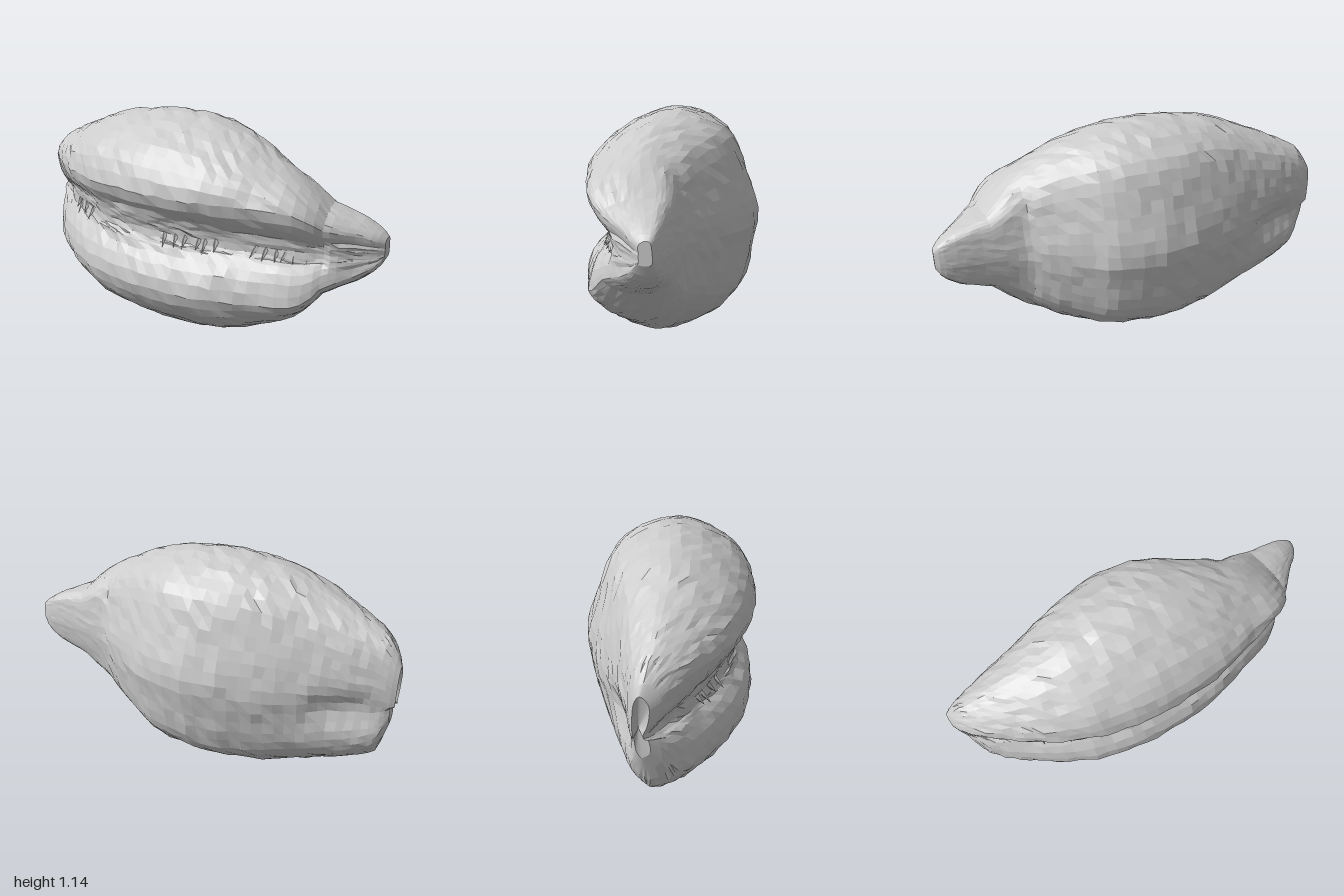
import * as THREE from 'three';

// Stations along the shell: x, top y, bottom y, back z, front z
const STATIONS = [
  [-1, 0.77, 0.46, -0.11, -0.03], [-0.97, 0.83, 0.36, -0.13, 0.03], [-0.93, 0.88, 0.27, -0.145, 0.07],
  [-0.88, 0.91, 0.23, -0.165, 0.12], [-0.8, 0.945, 0.185, -0.2, 0.18], [-0.6, 1.03, 0.1, -0.27, 0.305],
  [-0.4, 1.1, 0.03, -0.345, 0.385], [-0.2, 1.125, 0.01, -0.41, 0.415], [-0.05, 1.13, 0.005, -0.43, 0.42],
  [0.1, 1.118, 0.015, -0.42, 0.412], [0.2, 1.095, 0.03, -0.395, 0.4], [0.3, 1.063, 0.055, -0.335, 0.375],
  [0.4, 1.02, 0.09, -0.285, 0.345], [0.6, 0.915, 0.2, -0.19, 0.26], [0.7, 0.84, 0.3, -0.175, 0.195],
  [0.75, 0.785, 0.365, -0.17, 0.15], [0.8, 0.77, 0.39, -0.165, 0.12], [0.9, 0.73, 0.44, -0.16, 0.03],
  [0.97, 0.69, 0.5, -0.15, -0.03], [1, 0.66, 0.56, -0.13, -0.07],
];

// Closed cross-section (u = depth, v = height), v = 0 at the slit
const SECTION = new THREE.CatmullRomCurve3([
  [0.12, 1], [-0.25, 0.97], [-0.62, 0.8], [-0.85, 0.42], [-1, 0.03], [-0.95, -0.25], [-0.8, -0.65],
  [-0.33, -0.94], [0, -1], [0.45, -0.91], [0.85, -0.68], [1, -0.45], [0.93, -0.27], [0.72, -0.12],
  [0.35, -0.05], [0.25, 0], [0.4, 0.06], [0.72, 0.16], [0.91, 0.28], [1, 0.4], [0.9, 0.63], [0.6, 0.84],
].map(([u, v]) => new THREE.Vector3(u, v, 0)), true);

const SLIT_Y = 0.58, LIP_V = 0.4, LIP_HEIGHT = 0.22;
const { lerp, clamp, smoothstep } = THREE.MathUtils;
const bump = (x, c, w) => Math.exp(-(((x - c) / w) ** 2));

let seed = 7;
const rand = () => {
  seed = (seed * 16807) % 2147483647;
  return seed / 2147483647 - 0.5;
};

function station(x) {
  let i = 0;
  while (i < STATIONS.length - 2 && x > STATIONS[i + 1][0]) i++;
  const a = STATIONS[i], b = STATIONS[i + 1];
  const t = clamp((x - a[0]) / (b[0] - a[0]), 0, 1);
  return a.map((n, k) => lerp(n, b[k], t));
}

// How far forward the floor of the slit lies
const slitFloor = (x) =>
  Math.max(0.55 + 0.2 * bump(x, -0.15, 0.45), smoothstep(x, 0.5, 0.88) * 0.88) * smoothstep(x, -1.02, -0.75);

// Height above or below the slit; on the front the lips keep an even distance from it
function lipHeight(v, range) {
  const lip = Math.min(LIP_HEIGHT, 0.66 * range);
  return v < LIP_V ? (v / LIP_V) * lip : lerp(lip, range, (v - LIP_V) / (1 - LIP_V));
}

function surfacePoint(x, u, v) {
  const [, top, bottom, back, front] = station(x);
  if (u > 0 && Math.abs(v) < 0.2) u = Math.max(u, slitFloor(x) + 0.5 * Math.abs(v));
  // the spout has a flat, broad back
  if (u < 0) u = lerp(u, -(Math.abs(u) ** (v > 0 ? 0.4 : 0.65)), smoothstep(x, 0.5, 0.75));
  const range = v > 0 ? top - SLIT_Y : SLIT_Y - bottom;
  const y = SLIT_Y + (u > 0 ? Math.sign(v) * lipHeight(Math.abs(v), range) : v * range);
  let z = (back + front) / 2 + (u * (front - back)) / 2;
  // hollow behind the blunt end
  if (u < 0) z += 0.06 * bump(x, -0.78, 0.17) * bump(y, 0.53, 0.1);
  // slanted rim where the body meets the spout
  const px = x + 0.06 * u * bump(x, 0.66, 0.13) + (v < -0.1 ? 0.02 * bump(x, -1, 0.06) : 0);
  return new THREE.Vector3(px, y, z);
}

function shellGeometry() {
  const rings = 46, sides = 60, pos = [], index = [];
  const profile = SECTION.getSpacedPoints(sides).slice(0, sides);
  for (let i = 0; i <= rings; i++) {
    const t = i / rings;
    const x = 0.5 * (2 * t - 1) - 0.5 * Math.cos(Math.PI * t);
    const [, top, bottom] = station(x);
    const rough = i > 1 && i < rings - 1 ? (top - bottom) * 0.014 : 0;
    for (const { x: u, y: v } of profile) {
      const p = surfacePoint(x, u, v);
      pos.push(p.x + rand() * rough, p.y + rand() * rough * 0.7, p.z + rand() * rough * 0.7);
    }
  }
  for (let i = 0; i < rings; i++) {
    for (let j = 0; j < sides; j++) {
      const k = (j + 1) % sides;
      const a = i * sides + j, b = i * sides + k, c = a + sides, d = b + sides;
      index.push(a, c, b, b, c, d);
    }
  }
  // end caps, the blunt one pulled inward as a notch
  const start = pos.length / 3;
  pos.push(-0.965, 0.6, -0.08, 1, 0.61, -0.1);
  const last = rings * sides;
  for (let j = 0; j < sides; j++) {
    const k = (j + 1) % sides;
    index.push(start, j, k, start + 1, last + k, last + j);
  }
  const geo = new THREE.BufferGeometry();
  geo.setAttribute('position', new THREE.Float32BufferAttribute(pos, 3));
  geo.setIndex(index);
  geo.computeVertexNormals();
  return geo;
}

export function createModel() {
  const group = new THREE.Group();
  group.name = 'cowrieShell';
  const material = new THREE.MeshStandardMaterial({ color: 0xcccccc, flatShading: true, side: THREE.DoubleSide });

  const body = new THREE.Mesh(shellGeometry(), material);
  body.name = 'shellBody';
  group.add(body);

  // Irregular teeth hanging over the lower edge of the slit
  const teeth = new THREE.Group();
  teeth.name = 'slitTeeth';
  for (const [from, to, count] of [[-0.7, -0.52, 4], [0.04, 0.3, 6], [0.48, 0.7, 6]]) {
    for (let i = 0; i < count; i++) {
      const x = lerp(from, to, i / (count - 1)) + rand() * 0.03;
      const p = surfacePoint(x, 0.5, -0.04);
      const tooth = new THREE.Mesh(new THREE.ConeGeometry(0.018, 0.09 + rand() * 0.05, 4), material);
      tooth.name = 'tooth';
      tooth.position.set(x, 0.565, p.z + 0.005);
      tooth.rotation.set(Math.PI - 0.7, 0, rand() * 0.5);
      teeth.add(tooth);
    }
  }
  group.add(teeth);
  return group;
}
